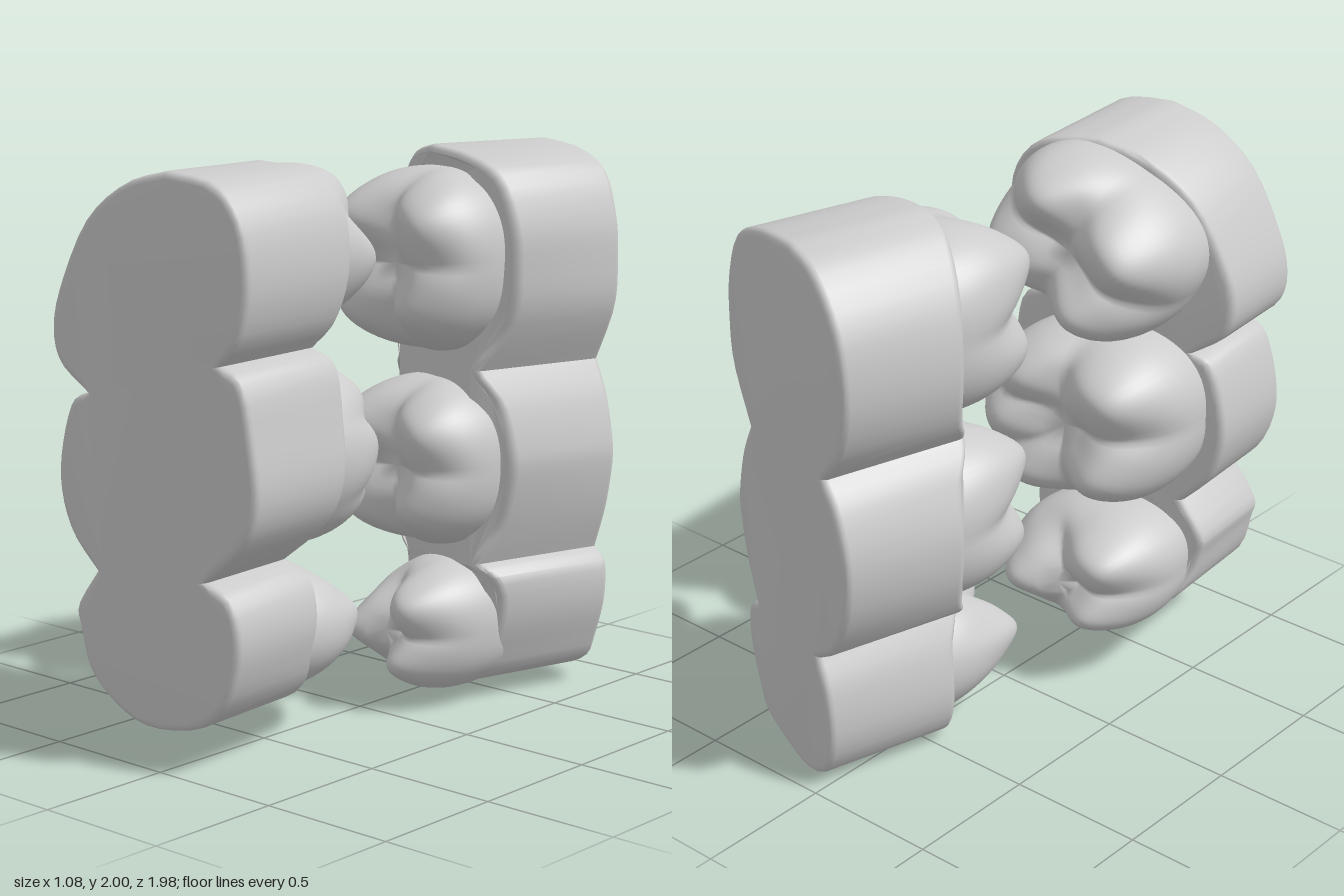
import * as THREE from 'three';
import { toCreasedNormals } from 'three/addons/utils/BufferGeometryUtils.js';

const grey = new THREE.MeshStandardMaterial({ color: 0xcccccc });

// Outlines run clockwise from the top; each arc ends in a notch between teeth.
const frontOutline = [
  [[0, 2], [.2, 1.97], [.31, 1.85], [.34, 1.65], [.3, 1.48], [.22, 1.385]],
  [[.31, 1.33], [.35, 1.15], [.37, .95], [.31, .8], [.15, .66]],
  [[.25, .61], [.29, .5], [.28, .38], [.22, .24], [.1, .15], [-.1, .12],
    [-.25, .17], [-.37, .28], [-.41, .42], [-.42, .5], [-.33, .63]],
  [[-.44, .75], [-.49, .9], [-.48, 1.05], [-.43, 1.2], [-.36, 1.24]],
  [[-.48, 1.33], [-.51, 1.45], [-.47, 1.6], [-.35, 1.82], [-.18, 1.95], [0, 2]],
].map(arc => arc.map(([x, y]) => [-(x + .065), y]));

const backOutline = [
  [[-.05, 2], [.15, 1.98], [.3, 1.91], [.37, 1.75], [.385, 1.6], [.37, 1.42], [.27, 1.22]],
  [[.33, 1.1], [.37, .95], [.375, .85], [.34, .68], [.28, .52]],
  [[.34, .47], [.34, .33], [.29, .18], [.24, .09], [.1, .03], [-.05, 0],
    [-.17, .06], [-.22, .2], [-.2, .38], [-.14, .5]],
  [[-.25, .58], [-.34, .75], [-.36, .95], [-.3, 1.13], [-.22, 1.22]],
  [[-.33, 1.35], [-.38, 1.55], [-.34, 1.78], [-.2, 1.95], [-.05, 2]],
];

// Three-lobed base, extruded towards the crowns, its far end following the gum line
function baseBlock(outline, gumHeight) {
  const shape = new THREE.Shape();
  shape.moveTo(...outline[0][0]);
  outline.forEach((arc, i) => {
    const pts = (i ? arc : arc.slice(1)).map(p => new THREE.Vector2(...p));
    shape.splineThru(pts);
  });
  const bevel = .025;
  const geo = new THREE.ExtrudeGeometry(shape, {
    depth: .4 - 2 * bevel, curveSegments: 3,
    bevelThickness: bevel, bevelSize: bevel, bevelOffset: -bevel, bevelSegments: 3,
  });
  geo.translate(0, 0, bevel);
  const p = geo.attributes.position;
  for (let i = 0; i < p.count; i++) {
    if (p.getZ(i) > .2) p.setZ(i, p.getZ(i) - .4 + gumHeight(p.getX(i), p.getY(i)));
  }
  const mesh = new THREE.Mesh(toCreasedNormals(geo, .6), grey);
  mesh.name = 'gumBlock';
  return mesh;
}

// Rounded crown: a boxy dome with raised cusps, a sunken centre, grooved sides
// and a narrower neck; it can be turned and can lean sideways
function crown({ x, y, rx, ry, base, top, cusps, turn = 0, lean = 0 }) {
  const rings = 44, seg = 80, power = 2 / 3.8, plan = 2.2;
  const pos = [], index = [];
  const ct = Math.cos(turn), st = Math.sin(turn);
  for (let i = 0; i <= rings; i++) {
    const phi = i / rings * Math.PI / 2;
    const r = Math.sin(phi) ** power;
    const h = Math.max(Math.cos(phi), 0) ** power;
    for (let j = 0; j < (i ? seg : 1); j++) {
      const a = j / seg * Math.PI * 2, c = Math.cos(a), s = Math.sin(a);
      const square = (Math.abs(c) ** plan + Math.abs(s) ** plan) ** (-1 / plan);
      const u = r * square * c, v = r * square * s;
      // Sides swell beside each cusp; cusps meet in grooves
      let swell = 0, lift = 0;
      for (const [cx, cy, k = 1] of cusps) {
        const d = Math.cos(a - Math.atan2(cy, cx));
        swell = Math.max(swell, Math.exp((d - 1) * 5));
        const d2 = (u - cx) ** 2 + (v - cy) ** 2;
        lift = Math.max(lift, k * Math.exp(-d2 / .32));
      }
      const wrinkle = .015 * Math.sin(9 * u + 4 * v) * Math.sin(8 * v - 3 * u);
      const side = (.94 + .06 * swell) * (1 - .14 * (1 - h) ** 3);
      const height = (top - base) * h * (.62 + .38 * lift + wrinkle);
      const px = rx * u * side, py = ry * v * side;
      pos.push(x + px * ct - py * st + lean * h, y + px * st + py * ct, base + height);
    }
  }
  const id = (i, j) => i ? 1 + (i - 1) * seg + j % seg : 0;
  for (let i = 0; i < rings; i++) {
    for (let j = 0; j < seg; j++) {
      index.push(id(i, j), id(i + 1, j), id(i + 1, j + 1));
      if (i) index.push(id(i, j), id(i + 1, j + 1), id(i, j + 1));
    }
  }
  const geo = new THREE.BufferGeometry();
  geo.setAttribute('position', new THREE.Float32BufferAttribute(pos, 3));
  geo.setIndex(index);
  geo.computeVertexNormals();
  return new THREE.Mesh(geo, grey);
}

function toothRow(name, outline, gumHeight, teeth) {
  const row = new THREE.Group();
  row.name = name;
  row.add(baseBlock(outline, gumHeight));
  for (const [toothName, spec] of Object.entries(teeth)) {
    const mesh = crown(spec);
    mesh.name = toothName;
    row.add(mesh);
  }
  return row;
}

export function createModel() {
  const model = new THREE.Group();
  model.name = 'facingMolarBlocks';

  const four = [[.5, .48, .95], [-.5, .48, .85], [.5, -.48], [-.5, -.48, .95]];
  const five = [[.5, .48, .95], [-.46, .55, .9], [.5, -.47], [-.6, -.02, .95], [-.4, -.58]];
  const sloped = [[.52, .47, .7], [-.47, .48], [.52, -.47, .7], [-.47, -.48, .95]];
  const three = [[-.4, -.03], [.48, .4, .9], [.42, -.45, .9]];

  // Front row: gum line rises towards one side, more so at the top
  const frontGum = (x, y) => .4 + (.5 - x / .8) * (.02 + .1 * (y - .3))
    + .5 * Math.max(0, .35 - y);
  const front = toothRow('frontRow', frontOutline, frontGum, {
    upperFrontMolar: { x: 0, y: 1.66, rx: .4, ry: .31, base: .33, top: .88, cusps: four, turn: -.5, lean: -.03 },
    middleFrontMolar: { x: 0, y: 1.0, rx: .41, ry: .35, base: .33, top: .88, cusps: five, lean: -.03 },
    lowerFrontMolar: { x: .01, y: .385, rx: .34, ry: .255, base: .35, top: .88, cusps: three, lean: -.02 },
  });
  front.position.set(-.065, 0, .95);
  front.rotation.y = Math.PI + .09;

  // Back row, turned the other way to face it; gum line arched and peaked between teeth
  const peak = (y, at) => .05 * Math.exp(-(((y - at) / .08) ** 2));
  const backGum = (x, y) => .46 + .08 * (1 - (x / .37) ** 2) + peak(y, 1.22) + peak(y, .52);
  const back = toothRow('backRow', backOutline, backGum, {
    upperBackMolar: { x: -.01, y: 1.6, rx: .36, ry: .355, base: .37, top: .91, cusps: sloped, lean: .07 },
    middleBackMolar: { x: -.01, y: .87, rx: .35, ry: .33, base: .37, top: .9, cusps: sloped, lean: .07 },
    lowerBackMolar: { x: .05, y: .28, rx: .28, ry: .26, base: .37, top: .9, cusps: three, lean: .05 },
  });
  back.position.set(.17, 0, -.9);
  back.rotation.y = -.27;

  model.add(front, back);
  return model;
}
